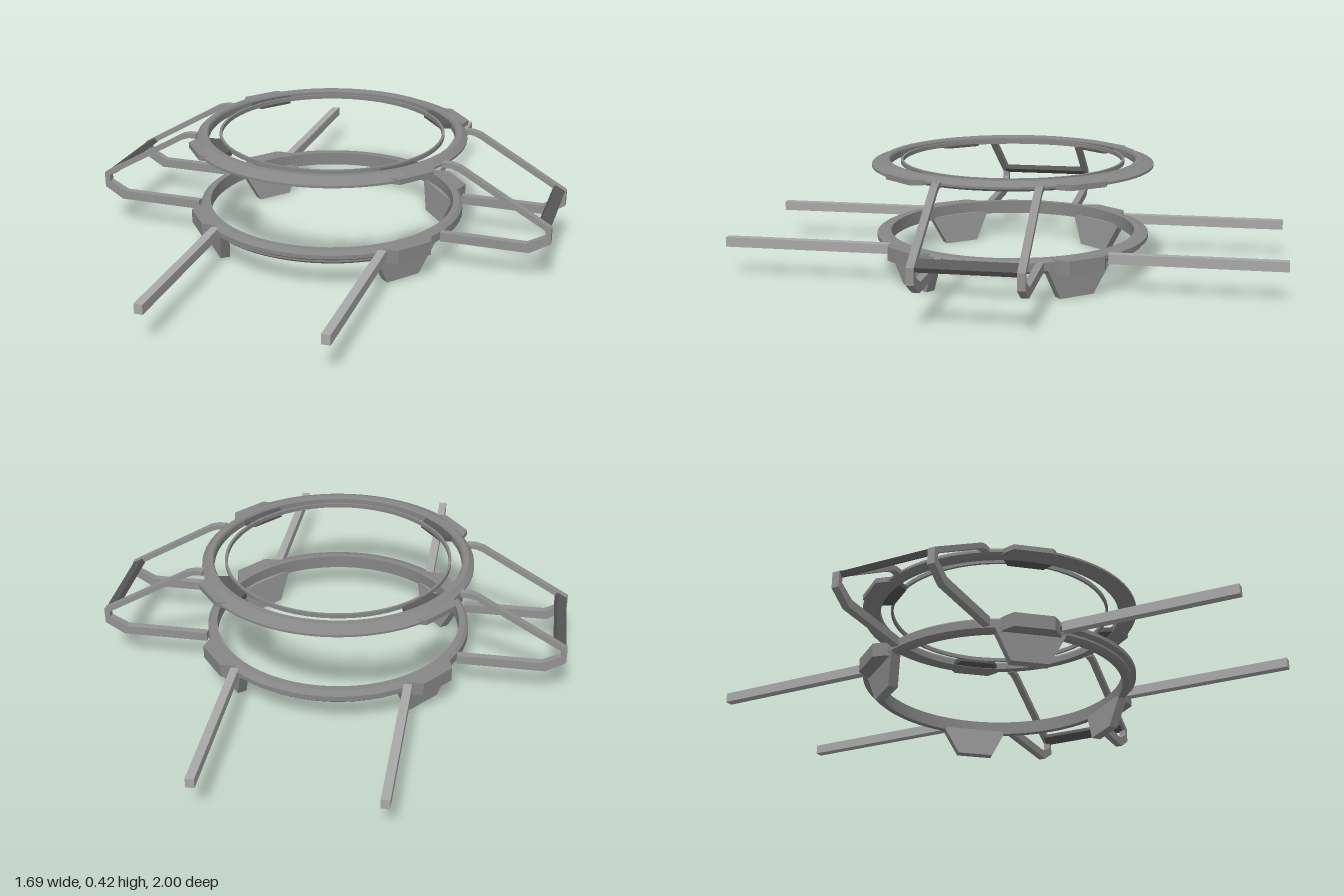
import * as THREE from 'three';
import { toCreasedNormals } from 'three/addons/utils/BufferGeometryUtils.js';

const paint = (color) => new THREE.MeshStandardMaterial({ color, side: THREE.DoubleSide });
const ringGrey = paint(0x868686);
const railGrey = paint(0x929292);
const barGrey = paint(0xa8a8a8);
const darkGrey = paint(0x585858);
const deg = Math.PI / 180;

function add(parent, name, geometry, material) {
  const mesh = new THREE.Mesh(geometry, material);
  mesh.name = name;
  parent.add(mesh);
  return mesh;
}

// Closed profile of [radius, y] pairs turned about the vertical axis
function turned(profile, start = 0, length = 360, segments = 64) {
  const points = [...profile, profile[0]].map(([r, y]) => new THREE.Vector2(r, y));
  const g = new THREE.LatheGeometry(points, segments, start * deg, length * deg);
  return toCreasedNormals(g, 30 * deg);
}

// Flat outline given a depth, centred on its own z
function slab(outline, depth) {
  const shape = new THREE.Shape(outline.map(([x, y]) => new THREE.Vector2(x, y)));
  const g = new THREE.ExtrudeGeometry(shape, { depth, bevelEnabled: false });
  return g.translate(0, 0, -depth / 2);
}

// Horizontal outline of [tangent, radius] pairs between two heights
function plate(outline, y0, y1) {
  const g = slab(outline.map(([t, r]) => [t, -r]), y1 - y0);
  return g.rotateX(-Math.PI / 2).translate(0, (y0 + y1) / 2, 0);
}

// Tapered foot that leans in slightly towards the floor
function footGeometry() {
  const g = new THREE.BoxGeometry(1, 0.11, 0.035);
  const p = g.attributes.position;
  for (let i = 0; i < p.count; i++) {
    const top = p.getY(i) > 0;
    p.setX(i, p.getX(i) * (top ? 0.25 : 0.135));
    p.setZ(i, p.getZ(i) + (top ? 0.455 : 0.44));
    p.setY(i, top ? 0.11 : 0);
  }
  g.computeVertexNormals();
  return g;
}

export function createModel() {
  const model = new THREE.Group();
  model.name = 'ringFrame';

  // Upper and lower rings
  add(model, 'upperRing', turned([
    [0.45, 0.388], [0.475, 0.385], [0.494, 0.395], [0.494, 0.403], [0.475, 0.42], [0.455, 0.42], [0.45, 0.412],
  ]), ringGrey);
  add(model, 'innerHoop', turned([[0.402, 0.4], [0.411, 0.4], [0.411, 0.415], [0.402, 0.415]]), ringGrey);
  add(model, 'lowerRing', turned([
    [0.452, 0.1], [0.475, 0.1], [0.487, 0.11], [0.487, 0.14], [0.475, 0.15], [0.452, 0.15],
  ]), ringGrey);

  // Thin lips on the front and back of both rings
  for (const start of [-48, 132]) {
    add(model, 'upperLip',
      turned([[0.475, 0.388], [0.517, 0.394], [0.517, 0.402], [0.475, 0.418]], start, 96, 24), ringGrey);
    add(model, 'lowerLip',
      turned([[0.475, 0.11], [0.503, 0.128], [0.503, 0.142], [0.475, 0.15]], start, 96, 24), ringGrey);
  }

  // Corner pads, brackets and feet
  const padOutline = [[-0.11, 0.46], [-0.095, 0.49], [-0.07, 0.522], [0.07, 0.522], [0.095, 0.49], [0.11, 0.46]];
  const bracketOutline = [[-0.1, 0.46], [0.1, 0.46], [0.065, 0.402], [-0.065, 0.402]];
  for (const angle of [51, 129, 231, 309]) {
    const corner = new THREE.Group();
    corner.name = 'corner';
    corner.rotation.y = angle * deg;
    add(corner, 'upperPad', plate(padOutline, 0.389, 0.408), ringGrey);
    add(corner, 'lowerPad', plate(padOutline, 0.097, 0.148), ringGrey);
    add(corner, 'hoopBracket', plate(bracketOutline, 0.39, 0.408), darkGrey);
    add(corner, 'foot', footGeometry(), railGrey);
    model.add(corner);
  }

  // Long bars running to the front and back
  for (const x of [-0.307, 0.307]) {
    for (const side of [-1, 1]) {
      add(model, 'longBar', new THREE.BoxGeometry(0.03, 0.035, 0.61), barGrey)
        .position.set(x, 0.128, side * 0.695);
    }
  }

  // Bent side frames joining the two rings, with a sloping cross bar
  const frameOutline = [
    [0.46, 0.112], [0.775, 0.112], [0.845, 0.155], [0.845, 0.212], [0.52, 0.4], [0.49, 0.408], [0.46, 0.408],
    [0.46, 0.39], [0.49, 0.39], [0.515, 0.381], [0.825, 0.202], [0.825, 0.178], [0.762, 0.145], [0.46, 0.145],
  ];
  for (const turn of [0, Math.PI]) {
    const frame = new THREE.Group();
    frame.name = 'sideFrame';
    frame.rotation.y = turn;
    for (const z of [-0.175, 0.175]) {
      add(frame, 'bentRail', slab(frameOutline, 0.026), railGrey).position.z = z;
    }
    const bar = add(frame, 'crossBar', new THREE.BoxGeometry(0.042, 0.02, 0.35), darkGrey);
    bar.position.set(0.818, 0.214, 0);
    bar.rotation.z = -30 * deg;
    model.add(frame);
  }
  return model;
}
